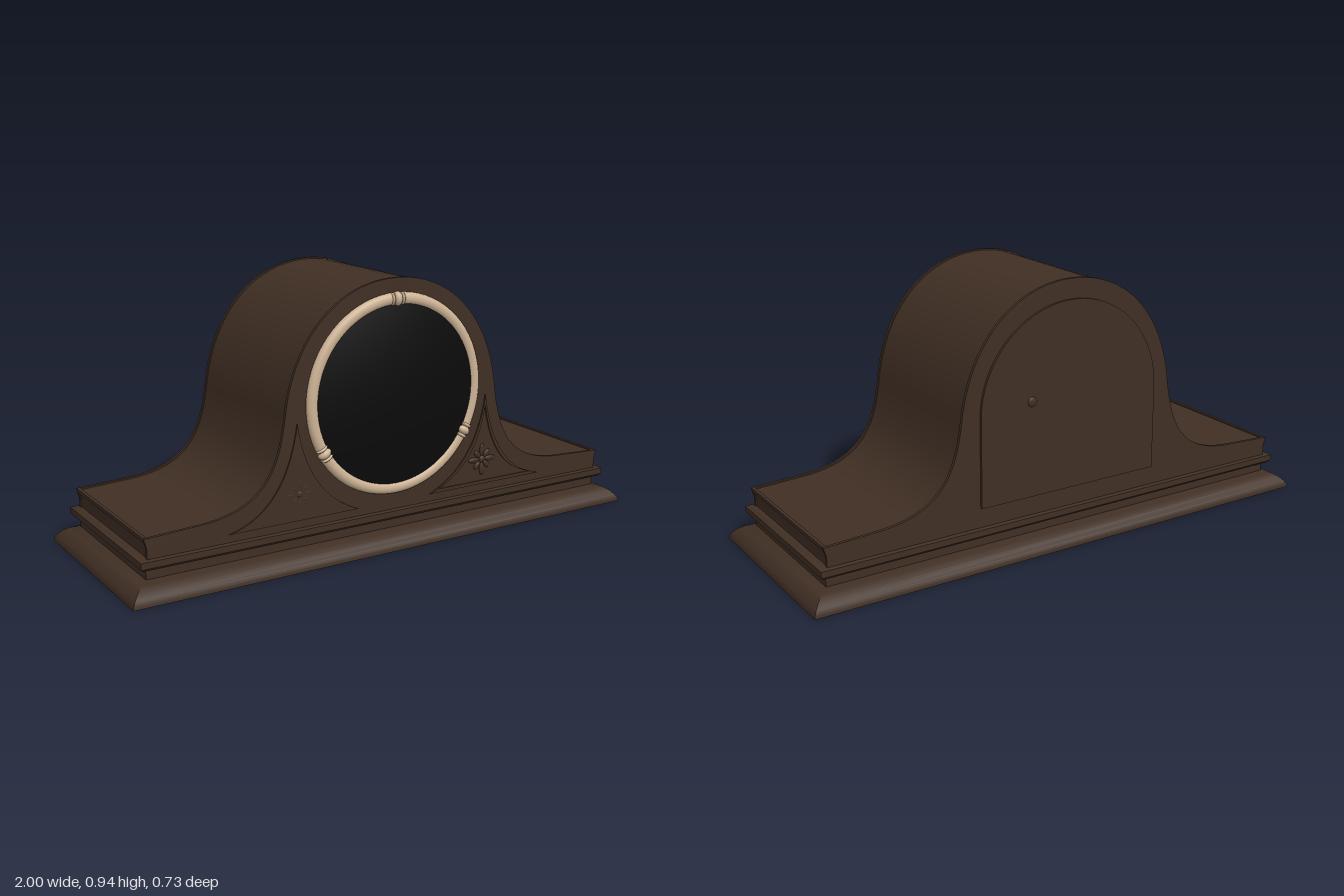
import * as THREE from 'three';
import { toCreasedNormals } from 'three/addons/utils/BufferGeometryUtils.js';

const DIAL_Y = 0.54;

// Stack of mitred rectangular rings; profile holds [inset, height]
function mouldedBase(hx, hz, profile) {
  const pos = [], index = [];
  for (const [d, y] of profile) {
    const x = hx - d, z = hz - d;
    pos.push(x, y, z, x, y, -z, -x, y, -z, -x, y, z);
  }
  for (let r = 0; r < profile.length - 1; r++) {
    for (let i = 0; i < 4; i++) {
      const a = r * 4 + i, b = r * 4 + (i + 1) % 4;
      index.push(a, b, b + 4, a, b + 4, a + 4);
    }
  }
  const t = (profile.length - 1) * 4;
  index.push(0, 2, 1, 0, 3, 2, t, t + 1, t + 2, t, t + 2, t + 3);
  const g = new THREE.BufferGeometry();
  g.setAttribute('position', new THREE.Float32BufferAttribute(pos, 3));
  g.setIndex(index);
  return toCreasedNormals(g, 0.65);
}

// Bell-shaped case outline, optionally sunk by a small amount
function caseShape(sink = 0) {
  const half = new THREE.Path();
  half.moveTo(0.922, 0.125);
  half.lineTo(0.922, 0.165);
  half.lineTo(0.932, 0.198);
  half.lineTo(0.75, 0.207);
  half.bezierCurveTo(0.5, 0.215, 0.455, 0.35, 0.43, 0.5);
  half.bezierCurveTo(0.4, 0.78, 0.22, 0.94, 0, 0.94);
  const right = half.getPoints(20).map(p =>
    new THREE.Vector2(p.x * (1 - sink), p.y > 0.13 ? p.y - sink : p.y));
  const left = right.slice(0, -1).reverse().map(p => new THREE.Vector2(-p.x, p.y));
  return new THREE.Shape([...right, ...left]);
}

function slab(shape, z0, z1) {
  const g = new THREE.ExtrudeGeometry(shape, { depth: z1 - z0, bevelEnabled: false, curveSegments: 24 });
  g.translate(0, 0, z0);
  return toCreasedNormals(g, 0.4);
}

// Curved three-cornered frame beside the dial
function spandrelFrame() {
  const s = new THREE.Shape();
  s.moveTo(0.15, 0.158);
  s.lineTo(0.64, 0.158);
  s.quadraticCurveTo(0.43, 0.2, 0.385, 0.49);
  s.quadraticCurveTo(0.35, 0.24, 0.15, 0.158);
  const scaled = k => s.getPoints(16).map(p =>
    new THREE.Vector2(0.385 + (p.x - 0.385) * k, 0.24 + (p.y - 0.24) * k));
  const frame = new THREE.Shape(scaled(1));
  frame.holes.push(new THREE.Path(scaled(0.85)));
  return frame;
}

export function createModel() {
  const wood = new THREE.MeshStandardMaterial({ color: 0x402f24 });
  wood.name = 'dark wood';
  const brass = new THREE.MeshStandardMaterial({ color: 0xcdb395 });
  brass.name = 'pale brass';
  const glass = new THREE.MeshStandardMaterial({ color: 0x0a0a0a });
  glass.name = 'black glass';

  const model = new THREE.Group();
  model.name = 'mantelClock';
  const add = (name, geometry, material, parent = model) => {
    const m = new THREE.Mesh(geometry, material);
    m.name = name;
    parent.add(m);
    return m;
  };

  // Plinth, neck and bead moulding
  add('base', mouldedBase(1, 0.365, [
    [0, 0], [0, 0.008], [0.01, 0.024], [0.025, 0.04], [0.046, 0.053], [0.075, 0.06],
    [0.075, 0.095], [0.06, 0.095], [0.05, 0.105], [0.05, 0.127], [0.054, 0.13], [0.075, 0.13],
  ]), wood);

  // Case with slightly proud front and back boards and end lips
  add('caseBody', slab(caseShape(0.005), -0.29, 0.29), wood);
  add('frontBoard', slab(caseShape(), 0.288, 0.3), wood);
  add('backBoard', slab(caseShape(), -0.3, -0.288), wood);
  for (const side of [-1, 1]) {
    const lip = add('endLip', new THREE.BoxGeometry(0.012, 0.012, 0.58), wood);
    lip.position.set(side * 0.925, 0.193, 0);
  }

  // Back door and its knob
  const door = new THREE.Shape();
  door.moveTo(-0.36, 0.2);
  door.lineTo(0.36, 0.2);
  door.lineTo(0.36, 0.51);
  door.absarc(0, 0.51, 0.36, 0, Math.PI, false);
  door.closePath();
  add('backDoor', slab(door, -0.309, -0.298), wood);
  const knob = add('doorKnob', new THREE.SphereGeometry(0.018, 16, 10), wood);
  knob.scale.z = 0.4;
  knob.position.set(0.16, DIAL_Y, -0.308);

  // Domed dial glass
  const dome = [];
  for (let i = 0; i <= 12; i++) {
    const r = 0.32 * (1 - i / 12);
    dome.push(new THREE.Vector2(r, 0.03 * (1 - (r / 0.32) ** 2)));
  }
  const dial = add('dialGlass', new THREE.LatheGeometry(dome, 64).rotateX(Math.PI / 2), glass);
  dial.position.set(0, DIAL_Y, 0.31);

  // Bezel ring with three ribbed knots
  const bezel = new THREE.Group();
  bezel.name = 'bezel';
  bezel.position.set(0, DIAL_Y, 0.302);
  model.add(bezel);
  add('bezelRing', new THREE.TorusGeometry(0.33, 0.021, 14, 72).scale(1, 1, 0.8), brass, bezel);
  for (const deg of [90, 210, 330]) {
    const knot = new THREE.Group();
    knot.name = 'bezelKnot';
    const a = THREE.MathUtils.degToRad(deg);
    knot.position.set(0.33 * Math.cos(a), 0.33 * Math.sin(a), 0.006);
    knot.rotation.z = a;
    bezel.add(knot);
    add('knotBead', new THREE.SphereGeometry(0.021, 16, 12), brass, knot).scale.set(1.2, 0.8, 0.95);
    for (const s of [-1, 1]) {
      const rib = add('knotRib', new THREE.SphereGeometry(0.021, 12, 8), brass, knot);
      rib.scale.set(1.1, 0.35, 0.85);
      rib.position.y = s * 0.02;
    }
  }

  // Carved corner panels, mirrored left and right
  const frame = spandrelFrame();
  for (const side of [-1, 1]) {
    const panel = new THREE.Group();
    panel.name = side > 0 ? 'leftCarving' : 'rightCarving';
    model.add(panel);
    const shape = side > 0 ? frame : mirrored(frame);
    add('carvedFrame', slab(shape, 0.298, 0.305), wood, panel);
    const flower = new THREE.Group();
    flower.name = 'flower';
    flower.position.set(side * 0.378, 0.25, 0.3);
    panel.add(flower);
    for (let i = 0; i < 8; i++) {
      const a = i * Math.PI / 4 + Math.PI / 2;
      const long = i % 2 === 0;
      const petal = add('petal', new THREE.SphereGeometry(1, 12, 8), wood, flower);
      petal.scale.set(long ? 0.025 : 0.018, 0.01, 0.006);
      petal.rotation.z = a;
      const r = long ? 0.035 : 0.029;
      petal.position.set(r * Math.cos(a), r * Math.sin(a), 0);
    }
    add('flowerCentre', new THREE.SphereGeometry(0.014, 12, 8), wood, flower).scale.z = 0.6;
  }
  return model;
}

// Shape with its hole reflected across x = 0
function mirrored(shape) {
  const flip = pts => pts.map(p => new THREE.Vector2(-p.x, p.y)).reverse();
  const out = new THREE.Shape(flip(shape.getPoints()));
  out.holes = shape.holes.map(h => new THREE.Path(flip(h.getPoints())));
  return out;
}
